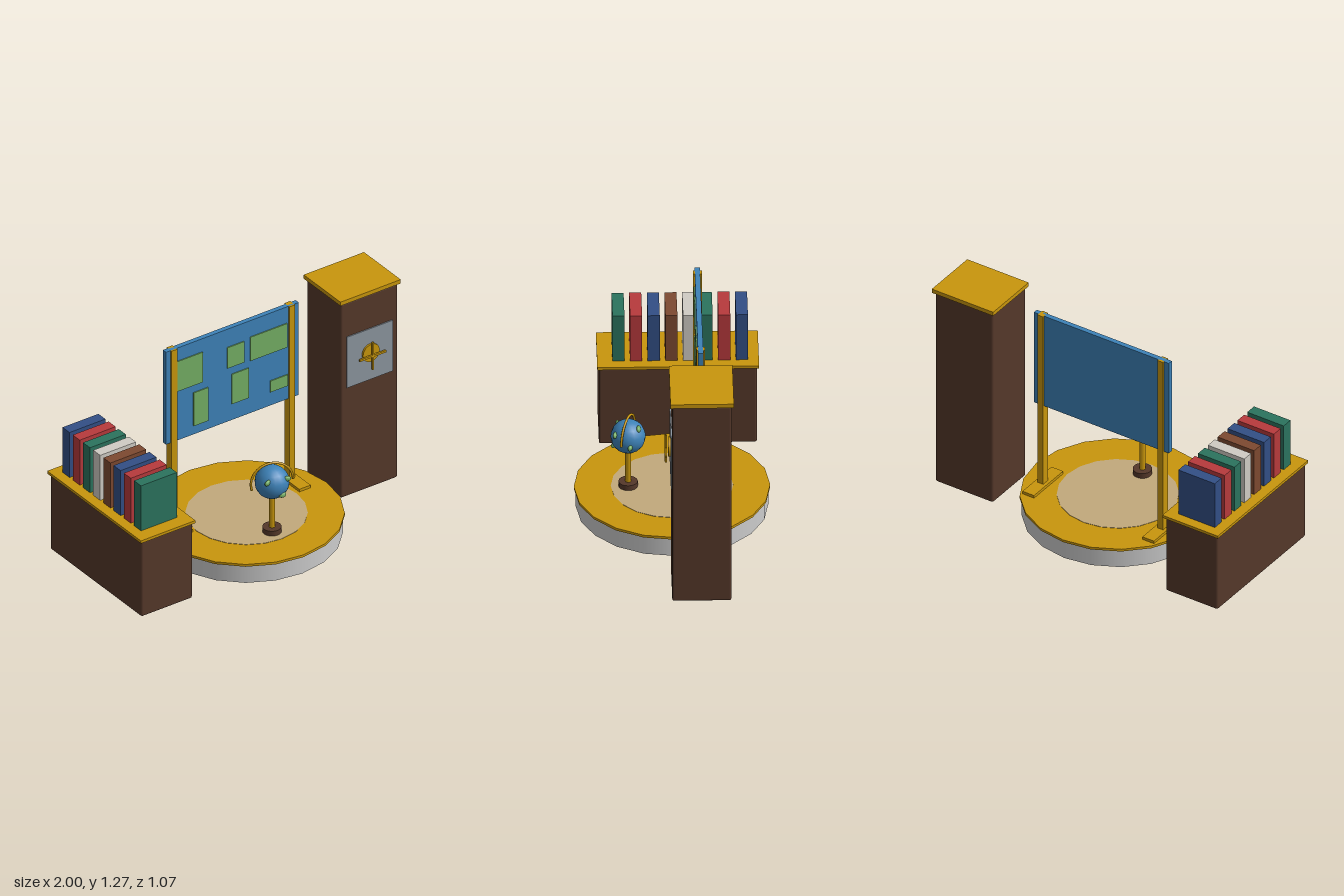
import * as THREE from 'three';
import { RoundedBoxGeometry } from 'three/addons/geometries/RoundedBoxGeometry.js';

const mat = (color) => new THREE.MeshStandardMaterial({ color });
const gold = mat(0xc8960c), brown = mat(0x55382a), blue = mat(0x3d82b8), green = mat(0x74ae64);
const grey = mat(0xcccccc), sand = mat(0xc2a97c), steel = mat(0x8c959e);
const navy = mat(0x324f85), red = mat(0xb73a3c), teal = mat(0x2b735e), ivory = mat(0xd0ccc4), tan = mat(0x7d4930);

function add(parent, name, geometry, material, x = 0, y = 0, z = 0) {
  const mesh = new THREE.Mesh(geometry, material);
  mesh.name = name;
  mesh.position.set(x, y, z);
  parent.add(mesh);
  return mesh;
}

// Box given by its lower and upper corners, with optional rounded edges
function box(parent, name, material, [x0, y0, z0], [x1, y1, z1], round = 0) {
  const s = [x1 - x0, y1 - y0, z1 - z0];
  const geometry = round ? new RoundedBoxGeometry(...s, 2, round) : new THREE.BoxGeometry(...s);
  return add(parent, name, geometry, material, (x0 + x1) / 2, (y0 + y1) / 2, (z0 + z1) / 2);
}

function group(parent, name) {
  const g = new THREE.Group();
  g.name = name;
  parent.add(g);
  return g;
}

function disc(parent, name, material, radius, y0, y1, sides, x, z) {
  return add(parent, name, new THREE.CylinderGeometry(radius, radius, y1 - y0, sides), material, x, (y0 + y1) / 2, z);
}

export function createModel() {
  const root = new THREE.Group();
  root.name = 'studyDisplay';
  const cx = -0.012;

  // Round platform
  const platform = group(root, 'platform');
  disc(platform, 'platformBase', grey, 0.527, 0, 0.11, 20, cx, 0);
  disc(platform, 'platformRim', gold, 0.537, 0.11, 0.125, 20, cx, 0);
  disc(platform, 'platformInlay', sand, 0.335, 0.115, 0.127, 20, cx, 0);

  // Map board on two posts
  const board = group(root, 'mapBoard');
  box(board, 'boardPanel', blue, [-0.457, 0.655, -0.162], [0.432, 1.25, -0.133]);
  for (const x of [cx - 0.395, cx + 0.395]) {
    box(board, 'boardPost', gold, [x - 0.019, 0.125, -0.172], [x + 0.019, 1.25, -0.124]);
    box(board, 'boardFoot', gold, [x - 0.038, 0.125, -0.29], [x + 0.038, 0.142, -0.005]);
  }
  const patches = [
    [-0.39, 0.973, -0.215, 1.166], [-0.05, 1.0, 0.063, 1.134], [0.104, 0.993, 0.352, 1.146],
    [-0.275, 0.711, -0.177, 0.925], [-0.02, 0.76, 0.093, 0.952], [0.238, 0.743, 0.355, 0.815],
  ];
  for (const [x0, y0, x1, y1] of patches) {
    box(board, 'landPatch', green, [x0, y0, -0.14], [x1, y1, -0.127]);
  }

  // Globe on a stand
  const globe = group(root, 'globe');
  globe.position.set(cx, 0, 0.24);
  disc(globe, 'globeBase', brown, 0.053, 0.125, 0.158, 16, 0, 0);
  disc(globe, 'globeStem', gold, 0.017, 0.158, 0.37, 10, 0, 0);
  add(globe, 'globeBall', new THREE.SphereGeometry(0.096, 16, 12), blue, 0, 0.446, 0);
  const arc = add(globe, 'globeArc', new THREE.TorusGeometry(0.12, 0.007, 8, 28, Math.PI * 1.1), gold, 0, 0.446, 0);
  arc.rotation.y = -0.34;
  // Flattened land masses facing outward
  const lands = [[0.05, 0.037, 0.072], [0.012, -0.047, 0.08], [0.093, -0.02, -0.01], [0.035, 0.067, -0.057], [-0.068, 0.042, 0.055]];
  for (const [x, y, z] of lands) {
    const dir = new THREE.Vector3(x, y, z).setLength(0.094);
    const land = add(globe, 'globeLand', new THREE.SphereGeometry(0.024, 12, 8), green, dir.x, 0.446 + dir.y, dir.z);
    land.lookAt(dir.x * 2, 0.446 + dir.y * 2, dir.z * 2);
    land.scale.set(1, 0.72, 0.5);
  }

  // Low cabinet with a row of books
  const cabinet = group(root, 'bookCabinet');
  box(cabinet, 'cabinetBody', brown, [-0.99, 0, -0.478], [-0.647, 0.486, 0.386], 0.012);
  box(cabinet, 'cabinetTop', gold, [-1, 0.483, -0.49], [-0.635, 0.5, 0.395]);
  [navy, red, teal, ivory, tan, navy, red, teal].forEach((cover, i) => {
    const z = -0.397 + i * 0.0964;
    box(cabinet, 'book', cover, [-0.94, 0.5, z - 0.033], [-0.7, 0.79, z + 0.033]);
  });

  // Tall cabinet with a front panel and cross handle
  const tower = group(root, 'tallCabinet');
  box(tower, 'towerBody', brown, [0.607, 0, -0.304], [0.987, 1.25, 0.02], 0.012);
  box(tower, 'towerCap', gold, [0.596, 1.25, -0.317], [1, 1.275, 0.03]);
  box(tower, 'towerPanel', steel, [0.643, 0.703, 0.01], [0.95, 1.03, 0.027]);
  const hub = add(tower, 'handleHub', new THREE.CylinderGeometry(0.056, 0.056, 0.018, 16), gold, 0.797, 0.88, 0.03);
  hub.rotation.x = Math.PI / 2;
  box(tower, 'handleBar', gold, [0.709, 0.862, 0.046], [0.885, 0.874, 0.057]);
  box(tower, 'handleBar', gold, [0.791, 0.78, 0.046], [0.803, 0.955, 0.057]);

  return root;
}
